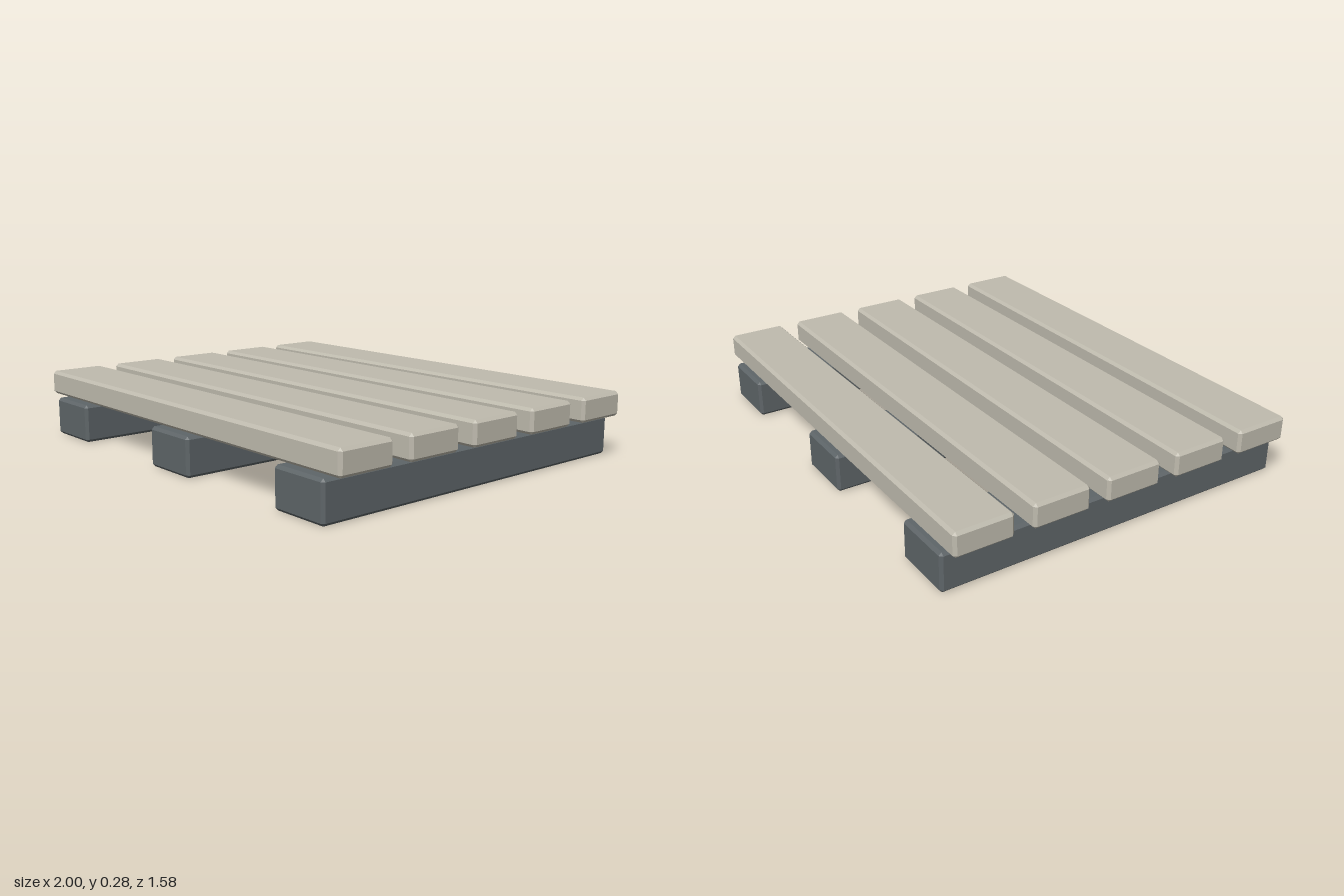
import * as THREE from 'three';
import { ConvexGeometry } from 'three/addons/geometries/ConvexGeometry.js';

// Box with flat chamfers along every edge
function chamferedBox(w, h, d, c) {
  const half = [w / 2, h / 2, d / 2];
  const points = [];
  for (const sx of [-1, 1]) for (const sy of [-1, 1]) for (const sz of [-1, 1]) {
    for (let axis = 0; axis < 3; axis++) {
      const p = half.map((v, i) => (i === axis ? v : v - c));
      points.push(new THREE.Vector3(p[0] * sx, p[1] * sy, p[2] * sz));
    }
  }
  return new ConvexGeometry(points);
}

export function createModel() {
  const pallet = new THREE.Group();
  pallet.name = 'pallet';
  const slatMaterial = new THREE.MeshStandardMaterial({ color: 0xbfbbae });
  const beamMaterial = new THREE.MeshStandardMaterial({ color: 0x5e6568 });

  function add(name, geometry, material, x, y, z) {
    const mesh = new THREE.Mesh(geometry, material);
    mesh.name = name;
    mesh.position.set(x, y, z);
    pallet.add(mesh);
  }

  // Three bearer beams running front to back
  const beam = chamferedBox(0.265, 0.166, 1.58, 0.012);
  for (let i = -1; i <= 1; i++) add(`beam${i + 2}`, beam, beamMaterial, i * 0.8, 0.083, 0);

  // Five deck slats lying across the beams
  const slat = chamferedBox(2, 0.104, 0.247, 0.012);
  for (let i = -2; i <= 2; i++) add(`slat${i + 3}`, slat, slatMaterial, 0, 0.228, i * 0.326);

  return pallet;
}
